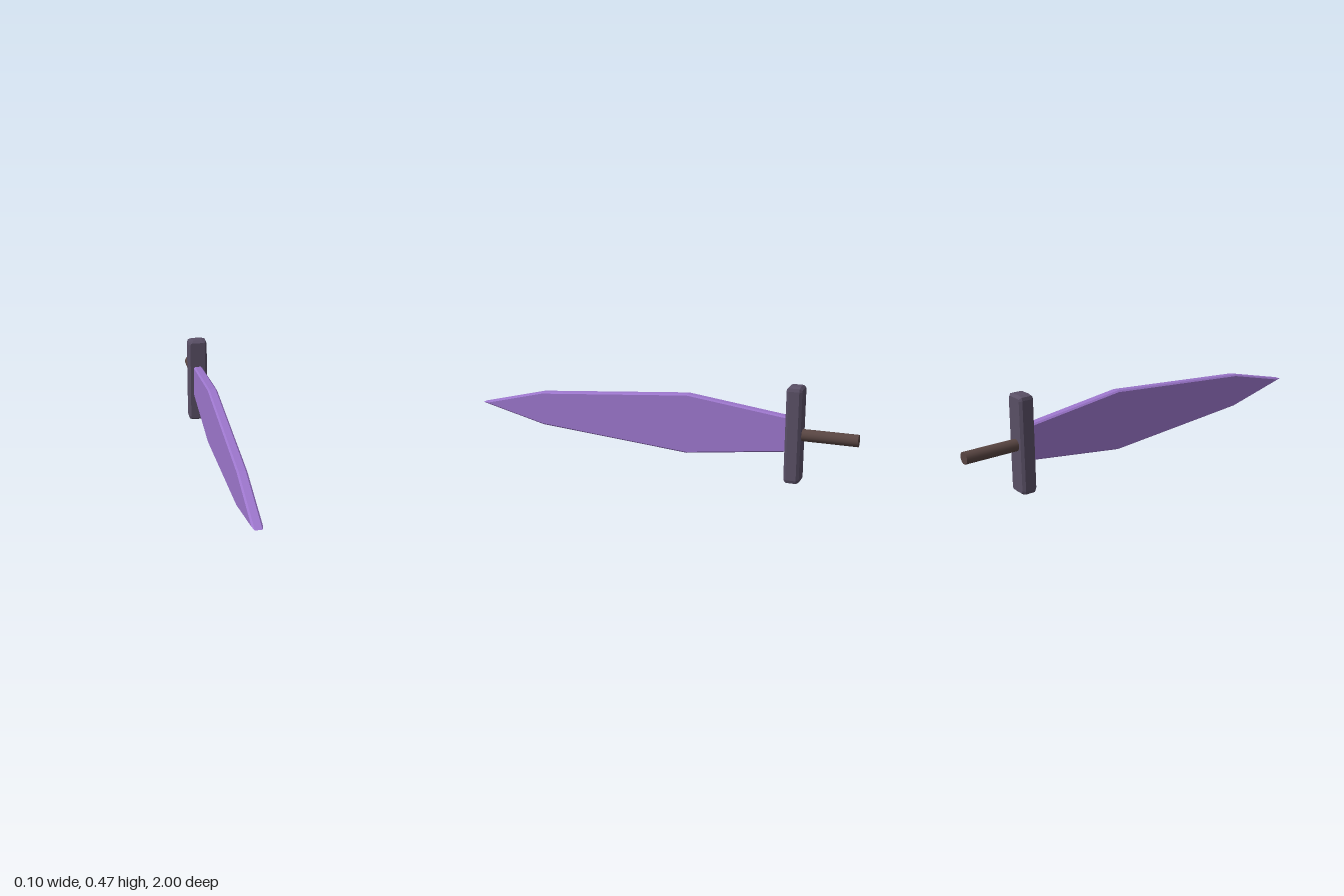
import * as THREE from 'three';
import { ConvexGeometry } from 'three/addons/geometries/ConvexGeometry.js';

const mat = (name, color) => {
  const m = new THREE.MeshStandardMaterial({ color });
  m.name = name;
  return m;
};

// Mirror points across the chosen axes and wrap them in a faceted convex hull
function hull(points, flipZ) {
  const all = [];
  for (const [x, y, z] of points)
    for (const sx of [1, -1])
      for (const sy of y === 0 ? [1] : [1, -1])
        for (const sz of flipZ ? [1, -1] : [1])
          all.push(new THREE.Vector3(x * sx, y * sy, z * sz));
  return new ConvexGeometry(all);
}

export function createModel() {
  const sword = new THREE.Group();
  sword.name = 'sword';
  const midY = 0.2375;

  const add = (name, geometry, material, z) => {
    const mesh = new THREE.Mesh(geometry, material);
    mesh.name = name;
    mesh.position.set(0, midY, z);
    sword.add(mesh);
    return mesh;
  };

  // Blade: half-height stations along z, with a narrow chamfer to the flat sides
  const rim = 0.016, side = 0.024, inset = 0.007;
  const bladePoints = [[rim, 0, 1], [side, 0, 0.97]];
  for (const [z, h] of [[0.64, 0.087], [-0.16, 0.151], [-0.69, 0.083]])
    bladePoints.push([rim, h, z], [side, h - inset, z]);
  add('blade', hull(bladePoints, false), mat('purple blade', 0x9c76cc), 0);

  // Crossguard: tall block with clipped corners and chamfered front and back
  const guardPoints = [
    [0.025, 0.2375, 0.025], [0.047, 0.232, 0.025], [0.052, 0.217, 0.025],
    [0.03, 0.2255, 0.0375], [0.038, 0.222, 0.0375], [0.041, 0.213, 0.0375],
  ];
  add('crossguard', hull(guardPoints, true), mat('dark grey guard', 0x594f65), -0.6975);

  // Grip: plain round rod
  const grip = new THREE.CylinderGeometry(0.029, 0.029, 0.3, 24);
  grip.rotateX(Math.PI / 2);
  add('grip', grip, mat('brown grip', 0x584542), -0.85);

  return sword;
}
